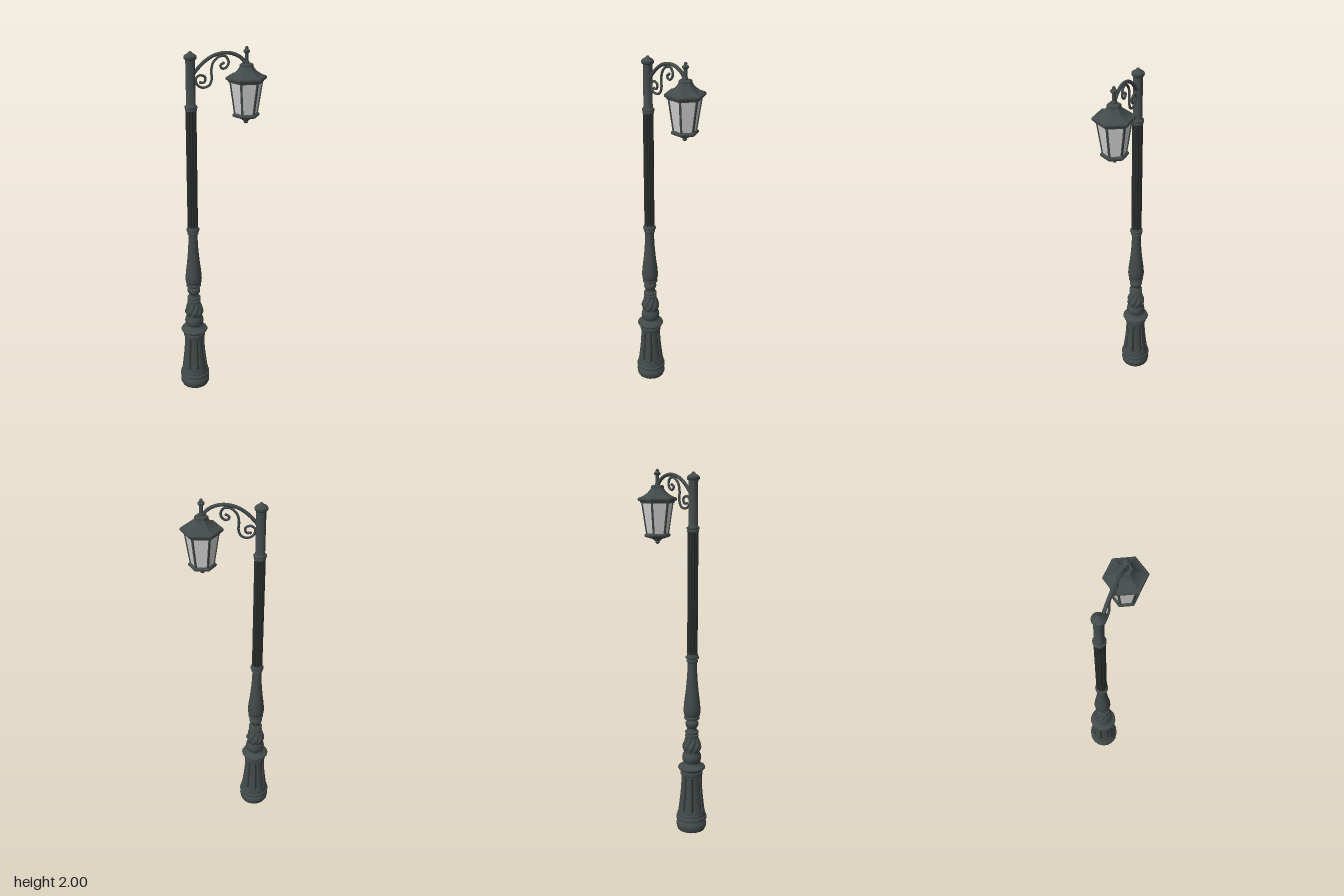
import * as THREE from 'three';
import { toCreasedNormals } from 'three/addons/utils/BufferGeometryUtils.js';

const POLE_X = -0.158, LAMP_X = 0.134;

export function createModel() {
  const iron = new THREE.MeshStandardMaterial({ color: 0x434a4a });
  iron.name = 'iron';
  const darkIron = new THREE.MeshStandardMaterial({ color: 0x282d2c });
  darkIron.name = 'dark iron';
  const glass = new THREE.MeshStandardMaterial({ color: 0xd2d2d2 });
  glass.name = 'glass';

  const model = new THREE.Group();
  model.name = 'streetLamp';
  const pole = new THREE.Group();
  pole.name = 'pole';
  pole.position.x = POLE_X;
  const lantern = new THREE.Group();
  lantern.name = 'lantern';
  lantern.position.x = LAMP_X;
  const bracket = new THREE.Group();
  bracket.name = 'bracket';
  model.add(pole, lantern, bracket);

  function add(parent, name, geometry, material) {
    const mesh = new THREE.Mesh(geometry, material);
    mesh.name = name;
    parent.add(mesh);
    return mesh;
  }
  const points = (profile) => profile.map(([r, y]) => new THREE.Vector2(r, y));

  // Turned part from [radius, height] pairs, bottom to top
  function turned(parent, name, profile, material = iron, sides = 16, start = 0, crease = 0.6) {
    const geo = new THREE.LatheGeometry(points(profile), sides, start);
    return add(parent, name, toCreasedNormals(geo, crease), material);
  }
  // Six-sided part with corners pointing along x
  const hex = (parent, name, profile, material = iron) =>
    turned(parent, name, profile, material, 6, Math.PI / 6, 0.4);

  // Smooth profile resampled into even rows
  function resample(profile, rows) {
    const curve = new THREE.SplineCurve(points(profile));
    return curve.getPoints(rows).map((p) => [p.x, p.y]);
  }
  // Turned part whose radius is cut by depth(angle, y)
  function carved(parent, name, profile, sides, depth, material = iron) {
    const geo = new THREE.LatheGeometry(points(profile), sides);
    const pos = geo.attributes.position;
    for (let i = 0; i < pos.count; i++) {
      const x = pos.getX(i), y = pos.getY(i), z = pos.getZ(i);
      const r = Math.hypot(x, z);
      const k = (r - depth(Math.atan2(x, z), y)) / r;
      pos.setXYZ(i, x * k, y, z * k);
    }
    return add(parent, name, toCreasedNormals(geo, 0.6), material);
  }

  // Foot
  turned(pole, 'foot', [
    [0, 0], [0.077, 0], [0.083, 0.012], [0.086, 0.03], [0.083, 0.045], [0.075, 0.055],
    [0.075, 0.06], [0.086, 0.062], [0.086, 0.078], [0.08, 0.084], [0.079, 0.1], [0.074, 0.105],
  ]);

  // Flared pedestal with eight sunken slots
  const flare = resample([[0.076, 0.1], [0.071, 0.14], [0.064, 0.2], [0.059, 0.26], [0.057, 0.33]], 40);
  const step = Math.PI / 4, offset = Math.PI / 16;
  const inSlotRows = (y) => y > 0.12 && y < 0.315;
  carved(pole, 'pedestal', flare, 96, (a, y) => {
    const d = (a - offset) / step;
    return inSlotRows(y) && Math.abs(d - Math.round(d)) * step < 0.07 ? 0.007 : 0;
  });
  const slotFloor = flare.filter(([, y]) => inSlotRows(y)).map(([r, y]) => [r - 0.0064, y]);
  for (let i = 0; i < 8; i++) {
    const strip = new THREE.LatheGeometry(points(slotFloor), 2, offset + i * step - 0.06, 0.12);
    add(pole, 'slotFloor', strip, darkIron);
  }

  // Collar and bulb above the pedestal
  turned(pole, 'pedestalCollar', [
    [0.057, 0.325], [0.062, 0.33], [0.062, 0.345], [0.058, 0.35], [0.06, 0.357], [0.073, 0.363],
    [0.077, 0.371], [0.073, 0.379], [0.056, 0.385], [0.046, 0.395], [0.044, 0.4], [0.051, 0.412],
    [0.054, 0.43], [0.051, 0.446], [0.044, 0.458], [0.044, 0.468],
  ], iron, 20);

  // Twisted knot
  carved(pole, 'twistedKnot',
    resample([[0.044, 0.463], [0.053, 0.485], [0.051, 0.505], [0.043, 0.53], [0.033, 0.555]], 20), 64,
    (a, y) => 0.008 * Math.pow(0.5 + 0.5 * Math.cos(8 * (a - (y - 0.46) * 11)), 2)
      * Math.min(1, (y - 0.463) / 0.015, (0.556 - y) / 0.015));

  // Stacked rings, vase and shaft collar
  turned(pole, 'neckRings', [
    [0.033, 0.55], [0.038, 0.554], [0.038, 0.562], [0.031, 0.566], [0.031, 0.571], [0.038, 0.575],
    [0.038, 0.582], [0.028, 0.588], [0.026, 0.602], [0.032, 0.61], [0.037, 0.622], [0.036, 0.635],
    [0.028, 0.645], [0.028, 0.651], [0.04, 0.654],
  ]);
  turned(pole, 'vase', [
    [0.038, 0.652], [0.043, 0.656], [0.043, 0.666], [0.04, 0.67], [0.045, 0.682], [0.047, 0.7],
    [0.046, 0.72], [0.043, 0.755], [0.037, 0.8], [0.032, 0.85], [0.028, 0.9], [0.026, 0.95],
    [0.025, 0.98],
  ]);
  turned(pole, 'lowerShaftCollar', [
    [0.025, 0.975], [0.031, 0.98], [0.031, 0.988], [0.028, 0.991], [0.028, 0.996], [0.036, 0.999],
    [0.036, 1.01], [0.03, 1.014], [0.03, 1.022], [0.024, 1.024],
  ]);

  // Fluted shaft
  carved(pole, 'flutedShaft', [[0.029, 1.01], [0.029, 1.69]], 96,
    (a) => 0.005 * Math.pow(Math.abs(Math.sin(6 * a)), 1.5), darkIron);

  // Upper post with cap
  turned(pole, 'upperPost', [
    [0.024, 1.676], [0.031, 1.678], [0.031, 1.686], [0.028, 1.689], [0.034, 1.692], [0.034, 1.702],
    [0.028, 1.706], [0.025, 1.712], [0.025, 1.94], [0.031, 1.944], [0.034, 1.95], [0.034, 1.958],
    [0.027, 1.966], [0.013, 1.974], [0.007, 1.982], [0, 1.985],
  ]);

  // Curved arm and scroll
  function tube(name, path, radius, segments) {
    const curve = new THREE.CatmullRomCurve3(path.map(([x, y]) => new THREE.Vector3(x, y, 0)));
    add(bracket, name, new THREE.TubeGeometry(curve, segments, radius, 8), iron);
    for (const [x, y] of [path[0], path[path.length - 1]]) {
      add(bracket, name + 'End', new THREE.SphereGeometry(radius * 1.15, 8, 6), iron).position.set(x, y, 0);
    }
  }
  tube('arm', [
    [-0.145, 1.865], [-0.125, 1.89], [-0.09, 1.925], [-0.04, 1.957], [0.02, 1.97],
    [0.07, 1.962], [0.11, 1.938], [0.132, 1.905],
  ], 0.0095, 32);
  tube('scroll', [
    [0.013, 1.918], [-0.003, 1.907], [0.008, 1.89], [0.029, 1.897], [0.04, 1.923], [0.024, 1.952],
    [-0.008, 1.952], [-0.04, 1.923], [-0.05, 1.881], [-0.048, 1.839], [-0.061, 1.807],
    [-0.093, 1.796], [-0.124, 1.812], [-0.13, 1.844], [-0.108, 1.86], [-0.082, 1.849],
    [-0.087, 1.823], [-0.108, 1.823],
  ], 0.0065, 80);

  // Finial
  turned(lantern, 'finial', [
    [0.014, 1.9], [0.014, 1.922], [0.01, 1.927], [0.01, 1.965], [0.017, 1.971], [0.018, 1.978],
    [0.012, 1.984], [0.008, 1.988], [0.009, 1.993], [0.005, 1.999], [0, 2],
  ], iron, 12);

  // Roof with swept sides and a stepped rim
  hex(lantern, 'roof', [
    [0, 1.818], [0.094, 1.818], [0.097, 1.828], [0.106, 1.83], [0.109, 1.835], [0.109, 1.843],
    [0.104, 1.848], [0.094, 1.85], [0.072, 1.861], [0.054, 1.874], [0.042, 1.888], [0.036, 1.897],
    [0.036, 1.907], [0.03, 1.913], [0, 1.915],
  ]);

  // Glass and corner posts
  const topR = 0.087, lowR = 0.061, topY = 1.82, lowY = 1.648;
  hex(lantern, 'glassPanes', [[lowR - 0.002, lowY], [topR - 0.002, topY]], glass);
  const lean = Math.atan2(topR - lowR, topY - lowY);
  for (let i = 0; i < 6; i++) {
    const arm = new THREE.Group();
    arm.name = 'cornerPost';
    arm.rotation.y = i * Math.PI / 3;
    const post = add(arm, 'post', new THREE.BoxGeometry(0.008, 0.176, 0.01), iron);
    post.position.set((topR + lowR) / 2 - 0.002, (topY + lowY) / 2, 0);
    post.rotation.z = -lean;
    lantern.add(arm);
  }

  // Lower rim and drop
  hex(lantern, 'lowerRim', [
    [0, 1.624], [0.03, 1.624], [0.056, 1.632], [0.07, 1.636], [0.073, 1.641], [0.073, 1.648],
    [0.066, 1.655], [0, 1.655],
  ]);
  turned(lantern, 'drop', [
    [0, 1.596], [0.009, 1.599], [0.013, 1.606], [0.01, 1.612], [0.02, 1.616], [0.026, 1.622], [0.026, 1.63],
  ], iron, 12);

  return model;
}
